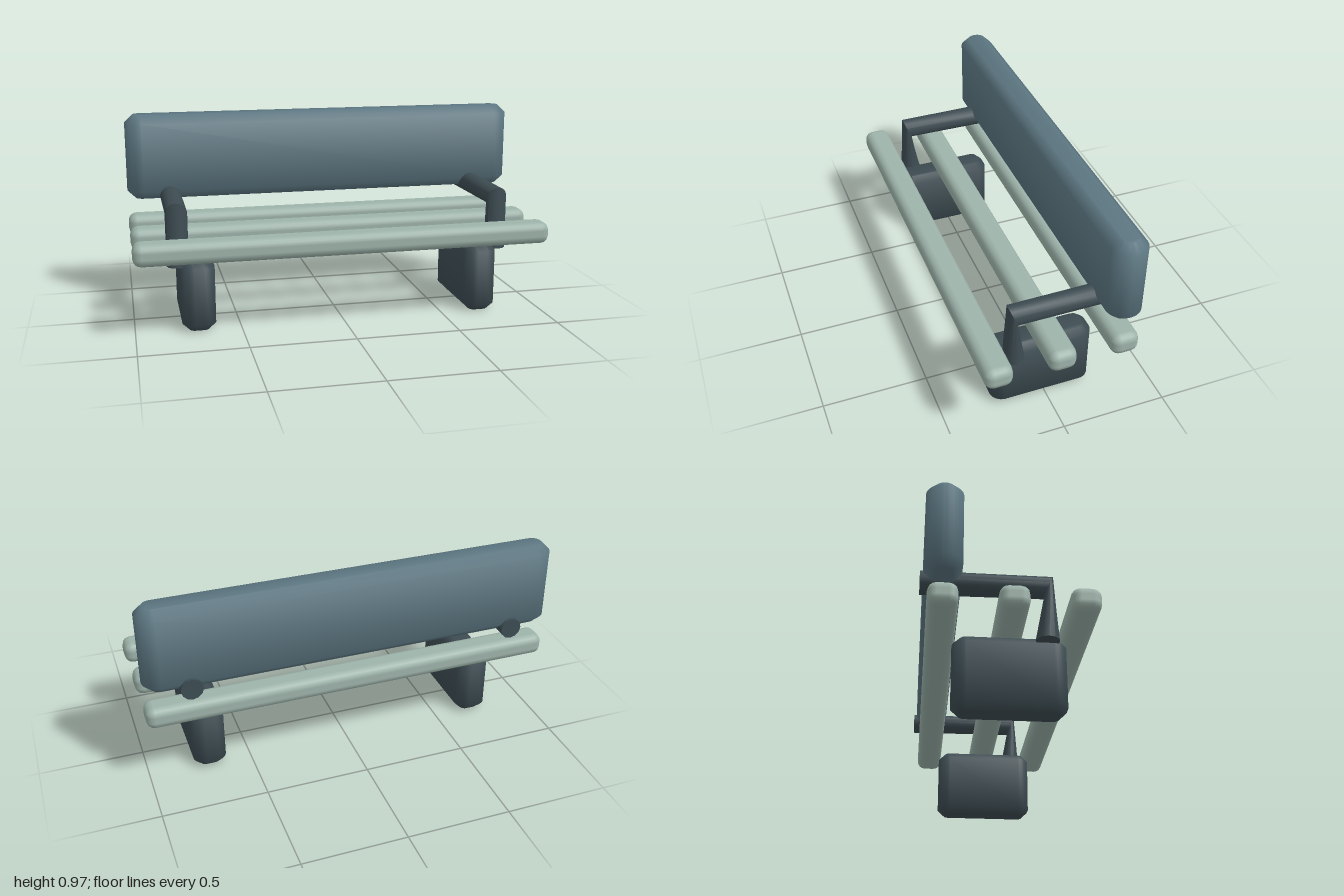
import * as THREE from 'three';
import { toCreasedNormals } from 'three/addons/utils/BufferGeometryUtils.js';
import { RoundedBoxGeometry } from 'three/addons/geometries/RoundedBoxGeometry.js';

// Block with rounded vertical edges and chamfered top and bottom rims
function chamferedBlock(w, h, d, radius, chamfer) {
  const x = w / 2 - chamfer, y = d / 2 - chamfer, r = radius - chamfer;
  const s = new THREE.Shape();
  s.absarc(x - r, y - r, r, 0, Math.PI / 2);
  s.absarc(-x + r, y - r, r, Math.PI / 2, Math.PI);
  s.absarc(-x + r, -y + r, r, Math.PI, Math.PI * 1.5);
  s.absarc(x - r, -y + r, r, Math.PI * 1.5, Math.PI * 2);
  s.closePath();
  const geo = new THREE.ExtrudeGeometry(s, {
    depth: h - 2 * chamfer, curveSegments: 4,
    bevelSize: chamfer, bevelThickness: chamfer, bevelSegments: 1,
  });
  geo.rotateX(-Math.PI / 2).center();
  return toCreasedNormals(geo, 0.9);
}

// Bent round bar: a cylinder whose three rings are moved onto the arm's path
function armGeometry() {
  const rings = [
    { y: 0.31, z: 0.172, uy: 0, uz: 1 },
    { y: 0.568, z: 0.18, uy: 0.92, uz: 0.39 },
    { y: 0.567, z: -0.375, uy: 1, uz: 0 },
  ];
  const geo = new THREE.CylinderGeometry(0.052, 0.052, 1, 12, 2);
  const p = geo.attributes.position;
  for (let i = 0; i < p.count; i++) {
    const ring = rings[Math.round((p.getY(i) + 0.5) * 2)];
    const u = p.getZ(i);
    p.setXYZ(i, p.getX(i), ring.y + u * ring.uy, ring.z + u * ring.uz);
  }
  return toCreasedNormals(geo, 0.8);
}

export function createModel() {
  const material = (name, color) => {
    const m = new THREE.MeshStandardMaterial({ color });
    m.name = name;
    return m;
  };
  const slate = material('slate blue', 0x5c7681);
  const sage = material('pale sage', 0x9db3aa);
  const dark = material('dark slate', 0x3d4c52);

  const bench = new THREE.Group();
  bench.name = 'bench';
  const add = (name, geo, mat, x, y, z) => {
    const mesh = new THREE.Mesh(geo, mat);
    mesh.name = name;
    mesh.position.set(x, y, z);
    bench.add(mesh);
  };

  // Backrest
  add('backrest', chamferedBlock(2, 0.42, 0.165, 0.08, 0.04), slate, 0, 0.76, -0.278);

  // Seat slats
  const slat = new RoundedBoxGeometry(2, 0.107, 0.13, 2, 0.04);
  ['frontSlat', 'middleSlat', 'backSlat'].forEach((name, i) =>
    add(name, slat, sage, 0, 0.4135, 0.31 - i * 0.295));

  // Legs and the bent arms that hold the backrest
  const leg = chamferedBlock(0.16, 0.34, 0.49, 0.06, 0.033);
  const arm = armGeometry();
  for (const [side, s] of [['left', 1], ['right', -1]]) {
    add(side + 'Leg', leg, dark, s * 0.7, 0.17, 0.015);
    add(side + 'Arm', arm, dark, s * 0.79, 0, 0);
  }
  return bench;
}
